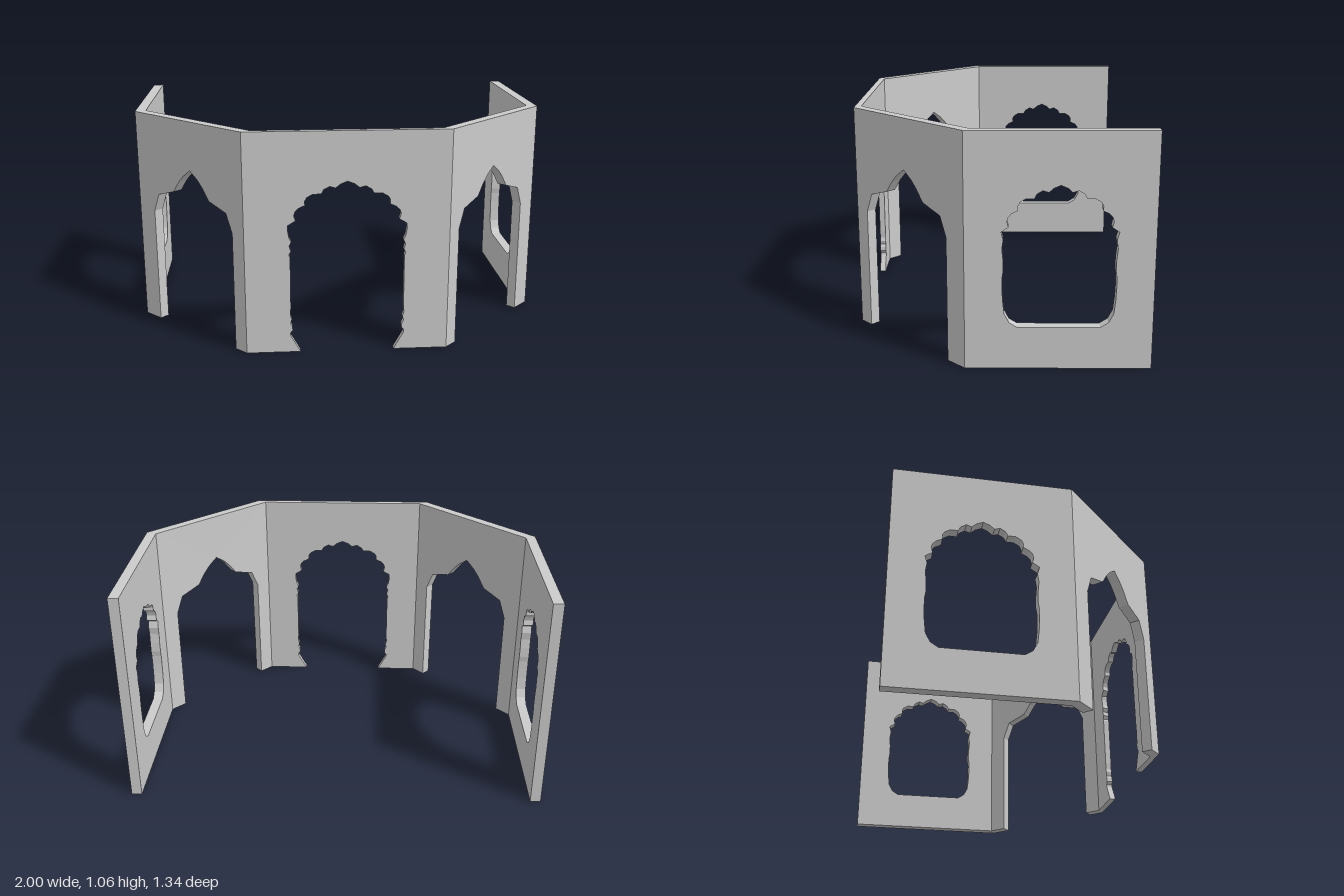
import * as THREE from 'three';

const HEIGHT = 1.06;

// Plan corners [x, z], running left to right as seen from outside
const OUTER = [[-1, -0.67], [-1, 0.145], [-0.473, 0.67], [0.473, 0.67], [1, 0.145], [1, -0.67]];
const INNER = [[-0.95, -0.67], [-0.95, 0.124], [-0.434, 0.64], [0.434, 0.64], [0.95, 0.124], [0.95, -0.67]];

// Half profiles [distance from centre line, height], bottom to peak
const SCALLOPS = [
  [0.25, 0.625], [0.218, 0.645], [0.225, 0.67], [0.219, 0.69], [0.205, 0.705], [0.178, 0.718],
  [0.179, 0.738], [0.17, 0.755], [0.145, 0.77], [0.11, 0.77], [0.1, 0.79], [0.075, 0.805],
  [0.05, 0.797], [0.03, 0.815], [0, 0.828],
];
const WINDOW = [
  [0.18, 0.193], [0.215, 0.215], [0.236, 0.255], [0.243, 0.32], [0.245, 0.37], [0.245, 0.42],
  [0.24, 0.45], [0.241, 0.5], [0.246, 0.55], [0.24, 0.59], ...SCALLOPS,
];
const MAIN_ARCH = [
  [0.22, 0], [0.265, 0.08], [0.268, 0.095], [0.256, 0.11], [0.258, 0.13], [0.266, 0.145],
  [0.26, 0.165], [0.267, 0.185], [0.264, 0.22], [0.264, 0.47], [0.27, 0.482], [0.26, 0.5],
  [0.268, 0.525], [0.258, 0.545], [0.268, 0.565], [0.274, 0.6],
  ...SCALLOPS.map(([d, y]) => [d * 1.09, y]),
];
const SIDE_ARCH = [
  [0.279, 0], [0.279, 0.575], [0.24, 0.665], [0.127, 0.7], [0.085, 0.755], [0.05, 0.79], [0, 0.825],
];

// Mirrors a half profile about a centre line
function opening(half, centre) {
  const left = half.map(([d, y]) => new THREE.Vector2(centre - d, y));
  const right = half.slice(0, -1).reverse().map(([d, y]) => new THREE.Vector2(centre + d, y));
  return [...left, ...right];
}

// One wall panel with a cut opening and mitred ends
function wall(name, i, half, centreAt, isDoor, material) {
  const a = new THREE.Vector3(OUTER[i][0], 0, OUTER[i][1]);
  const b = new THREE.Vector3(OUTER[i + 1][0], 0, OUTER[i + 1][1]);
  const length = a.distanceTo(b);
  const dir = b.clone().sub(a).normalize();
  const out = dir.clone().cross(new THREE.Vector3(0, 1, 0));
  const inA = new THREE.Vector3(INNER[i][0], 0, INNER[i][1]);
  const inB = new THREE.Vector3(INNER[i + 1][0], 0, INNER[i + 1][1]);
  const depth = a.clone().sub(inA).dot(out);

  const cut = opening(half, centreAt(length));
  const shape = new THREE.Shape([
    new THREE.Vector2(0, 0),
    ...(isDoor ? cut : []),
    new THREE.Vector2(length, 0),
    new THREE.Vector2(length, HEIGHT),
    new THREE.Vector2(0, HEIGHT),
  ]);
  if (!isDoor) shape.holes.push(new THREE.Path(cut));

  const geometry = new THREE.ExtrudeGeometry(shape, { depth, bevelEnabled: false });
  const pos = geometry.attributes.position;
  const p = new THREE.Vector3();
  for (let k = 0; k < pos.count; k++) {
    const u = pos.getX(k), y = pos.getY(k), w = pos.getZ(k);
    const inside = w < depth / 2;
    if (inside && u < 1e-4) p.copy(inA);
    else if (inside && u > length - 1e-4) p.copy(inB);
    else p.copy(a).addScaledVector(dir, u).addScaledVector(out, w - depth);
    pos.setXYZ(k, p.x, y, p.z);
  }
  geometry.computeVertexNormals();
  const mesh = new THREE.Mesh(geometry, material);
  mesh.name = name;
  return mesh;
}

export function createModel() {
  const group = new THREE.Group();
  group.name = 'archedScreen';
  const material = new THREE.MeshStandardMaterial({ color: 0xcccccc, flatShading: true });
  const middle = (length) => length / 2;
  group.add(
    wall('rightWindowWall', 0, WINDOW, middle, false, material),
    wall('rightArchWall', 1, SIDE_ARCH, (length) => length - 0.354, true, material),
    wall('frontArchWall', 2, MAIN_ARCH, middle, true, material),
    wall('leftArchWall', 3, SIDE_ARCH, () => 0.354, true, material),
    wall('leftWindowWall', 4, WINDOW, middle, false, material),
  );
  return group;
}
